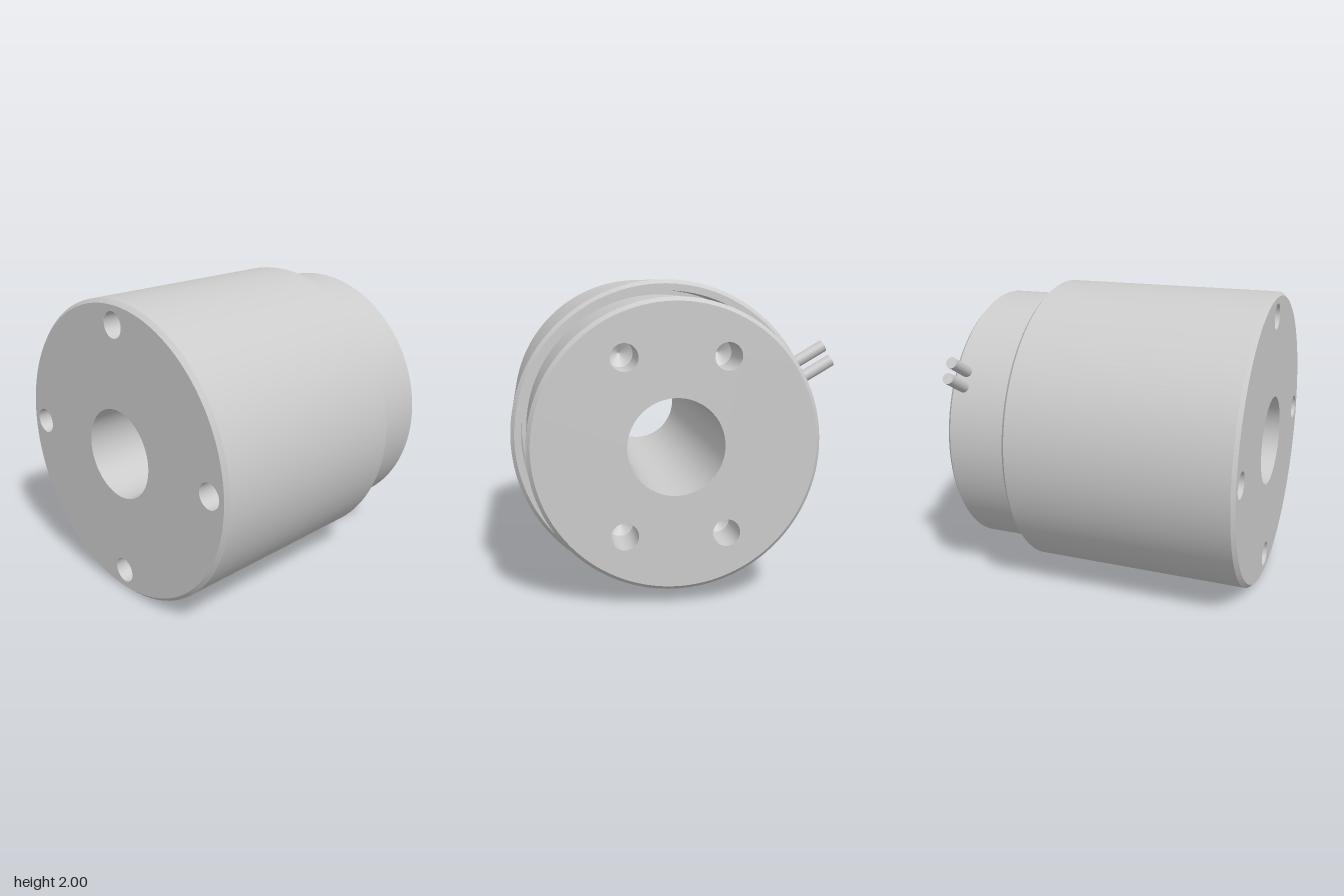
import * as THREE from 'three';
import { toCreasedNormals } from 'three/addons/utils/BufferGeometryUtils.js';

const FRONT = 0.985, REAR = -0.985, STEP = -0.535, FLOOR = -0.24;
const BORE = 0.3, HOLE = 0.085, CHAMFER = 0.025;

const material = new THREE.MeshStandardMaterial({ color: 0xcccccc });

function add(parent, name, geometry) {
  const mesh = new THREE.Mesh(geometry, material);
  mesh.name = name;
  parent.add(mesh);
  return mesh;
}

// Surface of revolution about z; points are [radius, z], ascending z faces outward
function turned(points, segments = 128) {
  const profile = points.map(([r, z]) => new THREE.Vector2(r, z));
  const geometry = new THREE.LatheGeometry(profile, segments).rotateX(Math.PI / 2);
  return toCreasedNormals(geometry, 0.4);
}

// Flat ring facing +z, pierced by the bore and the screw holes
function piercedFace(radius, holes) {
  const shape = new THREE.Shape().absarc(0, 0, radius, 0, Math.PI * 2);
  const pierce = (x, y, r) =>
    shape.holes.push(new THREE.Path().absarc(x, y, r, 0, Math.PI * 2, true));
  pierce(0, 0, BORE);
  holes.forEach(([x, y]) => pierce(x, y, HOLE));
  return new THREE.ShapeGeometry(shape, 64);
}

// End face with its blind, cone-bottomed drilled holes
function endFace(name, radius, holes) {
  const group = new THREE.Group();
  group.name = name;
  add(group, name + 'Plate', piercedFace(radius, holes));
  const drilled = turned([[HOLE, 0], [HOLE, -0.3], [0, -0.35]], 48);
  holes.forEach(([x, y]) => add(group, 'drilledHole', drilled).position.set(x, y, 0));
  return group;
}

export function createModel() {
  const model = new THREE.Group();
  model.name = 'steppedDrum';
  model.position.y = 1;
  const root = new THREE.Group();
  root.add(model);

  // Large drum, with a recess in its rear around the collar
  add(model, 'drum', turned([
    [0.9, FLOOR], [0.93, FLOOR], [0.93, STEP], [1 - CHAMFER, STEP],
    [1, STEP + CHAMFER], [1, FRONT - CHAMFER], [1 - CHAMFER, FRONT],
  ]));

  // Smaller rear collar
  add(model, 'collar', turned([
    [0.9 - CHAMFER, REAR], [0.9, REAR + CHAMFER], [0.9, FLOOR],
  ]));

  // Through bore, facing inward
  add(model, 'bore', turned([[BORE, FRONT], [BORE, REAR]], 96));

  // Front face with four holes on the axes
  const front = endFace('frontFace', 1 - CHAMFER,
    [[0.85, 0], [0, 0.85], [-0.85, 0], [0, -0.85]]);
  front.position.z = FRONT;
  model.add(front);

  // Rear face with four holes in a rectangle
  const rear = endFace('rearFace', 0.9 - CHAMFER,
    [[0.315, 0.545], [-0.315, 0.545], [-0.315, -0.545], [0.315, -0.545]]);
  rear.position.z = REAR;
  rear.rotation.y = Math.PI;
  model.add(rear);

  // Pair of lead stubs leaving the collar side by side
  const leads = new THREE.Group();
  leads.name = 'leads';
  leads.position.z = -0.89;
  leads.rotation.z = Math.PI / 3;
  for (const side of [-1, 1]) {
    add(leads, 'lead', new THREE.CylinderGeometry(0.037, 0.037, 0.24, 32))
      .position.set(side * 0.052, 0.98, 0);
  }
  model.add(leads);

  return root;
}
